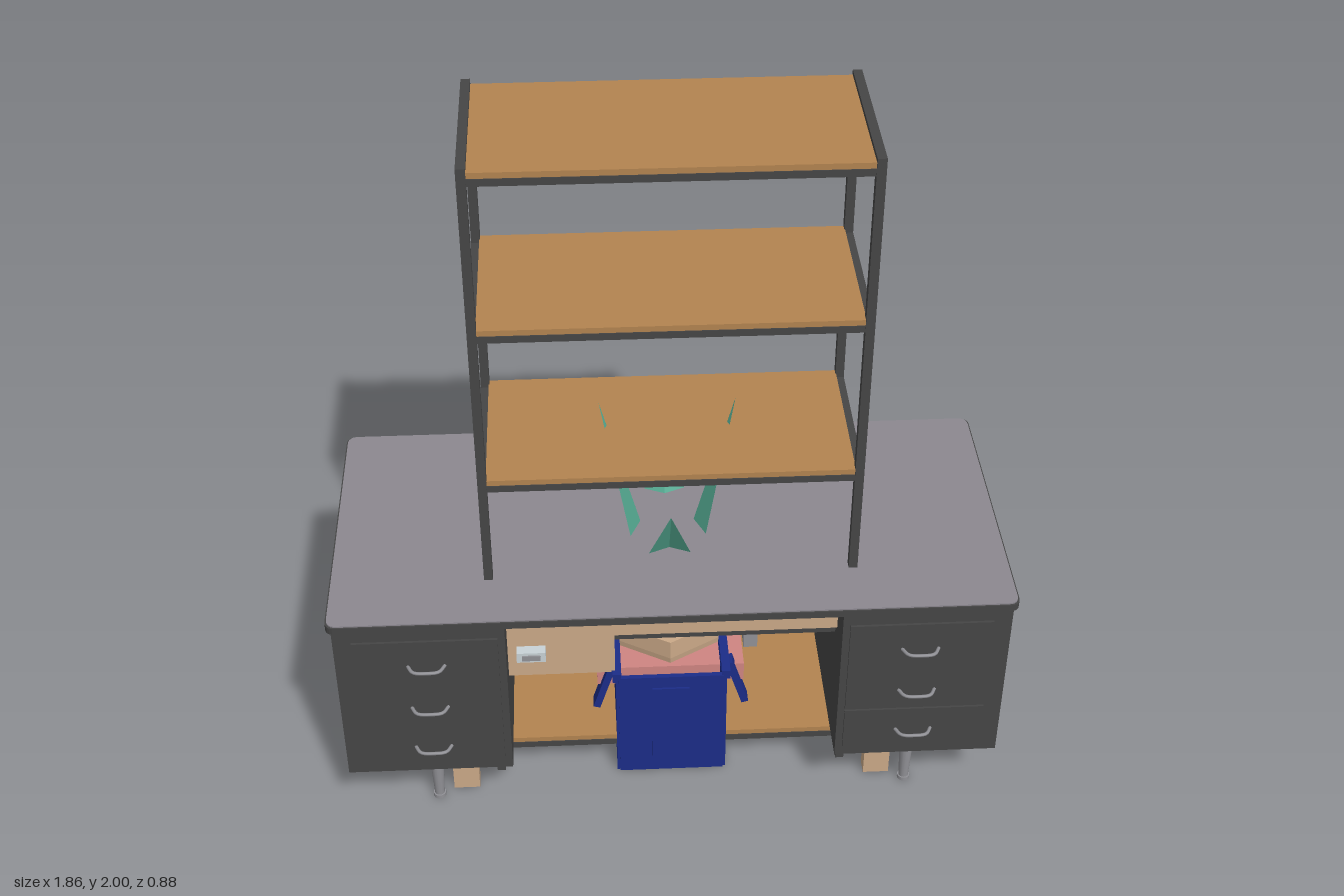
import * as THREE from 'three';

const mat = (name, color) => Object.assign(new THREE.MeshStandardMaterial({ color }), { name });

export function createModel() {
  const M = {
    dark: mat('charcoal', 0x464646),
    top: mat('desktop grey', 0x8c8890),
    metal: mat('metal grey', 0x919196),
    wood: mat('shelf wood', 0xb38450),
    tan: mat('pale wood', 0xcba988),
    red: mat('rose cushion', 0xcf8582),
    leaf: mat('leaf green', 0x55ab92),
    blue: mat('bin blue', 0x1c2d88),
    pale: mat('pale panel', 0xc8d2d6),
  };
  M.leaf.side = THREE.DoubleSide;
  const root = new THREE.Group();
  const group = (name) => {
    const g = new THREE.Group();
    g.name = name;
    root.add(g);
    return g;
  };
  const add = (parent, name, geo, m) => {
    const mesh = new THREE.Mesh(geo, m);
    mesh.name = name;
    parent.add(mesh);
    return mesh;
  };
  // Box given by its limits on each axis
  const box = (parent, name, m, x0, x1, y0, y1, z0, z1) => {
    const mesh = add(parent, name, new THREE.BoxGeometry(x1 - x0, y1 - y0, z1 - z0), m);
    mesh.position.set((x0 + x1) / 2, (y0 + y1) / 2, (z0 + z1) / 2);
    return mesh;
  };

  // Large desk: rounded top slab with a grey surface
  const desk = group('desk');
  const slab = (inset, depth) => {
    const x = 0.93 - inset, a = -0.407 + inset, b = 0.442 - inset, r = 0.03;
    const s = new THREE.Shape();
    s.moveTo(-x + r, a); s.lineTo(x - r, a); s.quadraticCurveTo(x, a, x, a + r);
    s.lineTo(x, b - r); s.quadraticCurveTo(x, b, x - r, b);
    s.lineTo(-x + r, b); s.quadraticCurveTo(-x, b, -x, b - r);
    s.lineTo(-x, a + r); s.quadraticCurveTo(-x, a, -x + r, a);
    return new THREE.ExtrudeGeometry(s, { depth, bevelEnabled: false, curveSegments: 6 }).rotateX(-Math.PI / 2);
  };
  add(desk, 'desktopEdge', slab(0, 0.021), M.dark).position.y = 0.711;
  add(desk, 'desktopSurface', slab(0.004, 0.004), M.top).position.y = 0.732;
  box(desk, 'backPanel', M.dark, -0.915, 0.915, 0.18, 0.711, -0.41, -0.385);

  // Pedestals with drawers, curved pulls and tapered feet
  const pull = new THREE.CatmullRomCurve3([[-0.05, 0], [-0.035, 0.025], [0, 0.03], [0.035, 0.025], [0.05, 0]]
    .map(([x, z]) => new THREE.Vector3(x, 0, z)));
  for (const s of [-1, 1]) {
    const cx = s * 0.685;
    box(desk, 'pedestal', M.dark, cx - 0.23, cx + 0.23, 0.18, 0.711, -0.39, 0.395);
    const splits = s < 0 ? [0.205, 0.672] : [0.205, 0.358, 0.672];
    for (let i = 0; i + 1 < splits.length; i++)
      box(desk, 'drawerFront', M.dark, s * 0.67 - 0.195, s * 0.67 + 0.195, splits[i] + 0.003, splits[i + 1] - 0.003, 0.395, 0.402);
    for (const y of [0.28, 0.43, 0.583])
      add(desk, 'drawerPull', new THREE.TubeGeometry(pull, 16, 0.005, 6), M.metal).position.set(s * 0.67, y, 0.402);
    for (const z of [0.32, -0.33]) {
      add(desk, 'foot', new THREE.CylinderGeometry(0.021, 0.014, 0.17, 14), M.metal).position.set(s * 0.675, 0.095, z);
      add(desk, 'footPad', new THREE.CylinderGeometry(0.018, 0.018, 0.012, 14), M.metal).position.set(s * 0.675, 0.006, z);
    }
  }

  // Open shelf rack: four posts, board and rails on each level
  const rack = group('shelfRack');
  for (const x of [-0.498, 0.498])
    for (const z of [-0.222, 0.222])
      box(rack, 'post', M.dark, x - 0.012, x + 0.012, 0, 2, z - 0.012, z + 0.012);
  for (const y of [0.125, 1.072, 1.543, 1.988]) {
    box(rack, 'shelfBoard', M.wood, -0.488, 0.488, y - 0.018, y, -0.23, 0.23);
    for (const z of [-0.222, 0.222])
      box(rack, 'longRail', M.dark, -0.49, 0.49, y - 0.036, y - 0.016, z - 0.01, z + 0.01);
    const lift = y > 1.9 ? 0.012 : -0.01;
    for (const x of [-0.498, 0.498])
      box(rack, 'endRail', M.dark, x - 0.012, x + 0.012, y + lift - 0.025, y + lift, -0.212, 0.212);
  }

  // Small writing table under the desk
  const table = group('smallTable');
  box(table, 'tableTop', M.tan, -0.635, 0.635, 0.655, 0.682, -0.29, 0.3);
  box(table, 'tableBack', M.tan, -0.57, 0.57, 0.02, 0.655, -0.285, -0.265);
  box(table, 'apron', M.tan, -0.56, 0.56, 0.575, 0.655, 0.27, 0.298);
  box(table, 'apronEdge', M.dark, -0.16, 0.45, 0.56, 0.575, 0.27, 0.298);
  box(table, 'drawerBox', M.tan, -0.56, -0.16, 0.44, 0.575, -0.1, 0.295);
  box(table, 'drawerPlate', M.tan, -0.55, -0.17, 0.445, 0.63, 0.298, 0.305);
  box(table, 'latch', M.pale, -0.43, -0.35, 0.52, 0.553, 0.305, 0.335);
  box(table, 'latchSlot', M.metal, -0.415, -0.365, 0.528, 0.545, 0.335, 0.339);
  for (const s of [-1, 1]) {
    for (const z of [-0.275, 0.275])
      box(table, 'tableLeg', M.tan, s * 0.597 - 0.037, s * 0.597 + 0.037, 0, 0.655, z - 0.022, z + 0.022);
    box(table, 'sideRail', M.tan, s * 0.597 - 0.03, s * 0.597 + 0.03, 0.09, 0.655, -0.26, 0.26);
  }
  for (const s of [-1, 1])
    box(table, 'palePanel', M.pale, s * 0.22 - 0.07, s * 0.22 + 0.07, 0.13, 0.43, -0.262, -0.245);

  // Swivel chair: chamfered back, seat, arms and star base
  const chair = group('chair');
  const back = new THREE.Shape([[-0.21, 0.42], [0.21, 0.42], [0.21, 0.88], [0.145, 0.94], [-0.145, 0.94], [-0.21, 0.88]]
    .map(([x, y]) => new THREE.Vector2(x, y)));
  add(chair, 'chairBack', new THREE.ExtrudeGeometry(back, { depth: 0.045, bevelEnabled: true, bevelSize: 0, bevelThickness: 0.01, bevelSegments: 1 }), M.red)
    .position.z = -0.23;
  box(chair, 'chairSeat', M.red, -0.21, 0.21, 0.3, 0.36, -0.2, 0.2);
  box(chair, 'backBar', M.metal, -0.03, 0.03, 0.27, 0.5, -0.258, -0.24);
  for (const s of [-1, 1]) {
    box(chair, 'armPlate', M.metal, s * 0.235 - 0.02, s * 0.235 + 0.02, 0.35, 0.43, -0.1, 0.12);
    if (s > 0) add(chair, 'armRest', new THREE.CylinderGeometry(0.1, 0.1, 0.045, 16).rotateZ(Math.PI / 2), M.metal).position.set(0.232, 0.445, 0.02);
  }
  add(chair, 'chairColumn', new THREE.CylinderGeometry(0.025, 0.025, 0.28, 12), M.metal).position.y = 0.16;
  for (let i = 0; i < 5; i++) {
    const arm = new THREE.Group();
    arm.name = 'baseArm';
    arm.rotation.y = i * Math.PI * 0.4;
    chair.add(arm);
    box(arm, 'spoke', M.metal, 0, 0.22, 0.012, 0.035, -0.015, 0.015);
  }

  // Open-topped bin with grooved front and drooping side handles
  const bin = group('bin');
  box(bin, 'binFloor', M.blue, -0.15, 0.15, 0.003, 0.02, -0.255, 0.25);
  for (const s of [-1, 1]) {
    box(bin, 'binSide', M.blue, s * 0.15 - 0.008, s * 0.15 + 0.008, 0.003, 0.37, -0.255, 0.25);
    box(bin, 'binWall', M.blue, -0.15, 0.15, 0.003, 0.37, s * 0.25 - 0.008, s * 0.25 + 0.006);
    box(bin, 'binRim', M.blue, s * 0.155 - 0.012, s * 0.155 + 0.012, 0.355, 0.385, -0.255, 0.255);
    for (const z of [-0.1, 0.2])
      box(bin, 'binHandle', M.blue, -0.01, 0.01, -0.08, 0.08, -0.02, 0.02).position.set(s * 0.19, 0.305, z);
  }
  bin.children.filter((c) => c.name === 'binHandle').forEach((c) => { c.rotation.z = Math.sign(c.position.x) * 0.3; });
  box(bin, 'frontRib', M.blue, -0.055, 0.05, 0.02, 0.33, 0.25, 0.262);

  // Six-sided pot with four folded leaves
  const plant = group('plant');
  const pot = [[0, 0.05], [0.11, 0.05], [0.17, 0.38], [0.17, 0.44], [0.135, 0.44], [0.125, 0.39], [0, 0.39]]
    .map(([r, y]) => new THREE.Vector2(r, y));
  M.tan.flatShading = false;
  const potGeo = new THREE.LatheGeometry(pot, 6).toNonIndexed();
  potGeo.computeVertexNormals();
  add(plant, 'pot', potGeo, M.tan).position.z = 0.02;
  // Each leaf row: height, outward offset, half width, fold depth
  const leafGeo = (rows) => {
    const pos = [];
    for (let i = 0; i + 1 < rows.length; i++) {
      const [a, b] = [rows[i], rows[i + 1]].map(([y, out, w, f]) => [[-w, y, out], [0, y, out - f], [w, y, out]]);
      for (const k of [0, 1])
        pos.push(...a[k], ...a[k + 1], ...b[k + 1], ...a[k], ...b[k + 1], ...b[k]);
    }
    const g = new THREE.BufferGeometry();
    g.setAttribute('position', new THREE.Float32BufferAttribute(pos, 3));
    g.computeVertexNormals();
    return g;
  };
  for (let i = 0; i < 4; i++) {
    const tall = i % 2 === 1;
    const rows = tall
      ? [[0.4, 0.05, 0.06, 0.02], [0.55, 0.07, 0.095, 0.035], [0.735, 0.105, 0.068, 0.03], [1.15, 0.185, 0.001, 0]]
      : [[0.42, 0.05, 0.07, 0.02], [0.52, 0.08, 0.105, 0.03], [0.735, 0.145, 0.058, 0.025], [0.91, 0.21, 0.001, 0]];
    add(plant, 'leaf', leafGeo(rows), M.leaf).rotation.y = i * Math.PI / 2;
  }
  return root;
}
